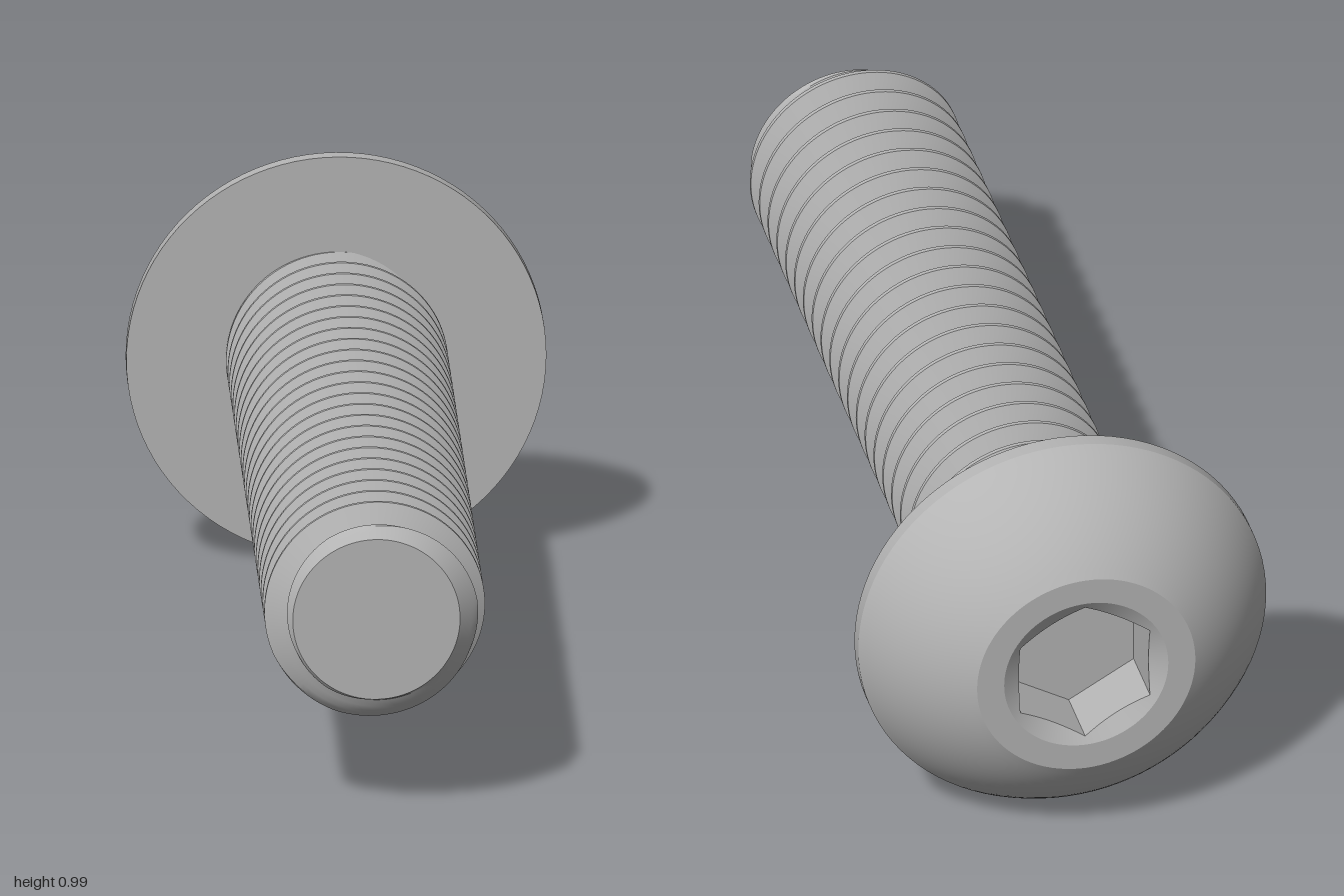
import * as THREE from 'three';
import { toCreasedNormals } from 'three/addons/utils/BufferGeometryUtils.js';

const COLS = 96;
const UNDERSIDE = -0.847, TOP = -1.118, TIP = 1.215; // stations along the bolt axis
const PITCH = 0.0856, MAJOR = 0.262, MINOR = 0.206, TIP_RADIUS = 0.198;

// Skin rows of points around the local y axis; at(row, angle) gives [radius, station]
function skin(rows, at) {
  const position = [], index = [];
  for (let i = 0; i < rows; i++) {
    for (let j = 0; j <= COLS; j++) {
      const a = (j / COLS) * Math.PI * 2;
      const [r, s] = at(i, a);
      position.push(r * Math.cos(a), s, -r * Math.sin(a));
    }
  }
  for (let i = 0; i < rows - 1; i++) {
    for (let j = 0; j < COLS; j++) {
      const a = i * (COLS + 1) + j, c = a + COLS + 1;
      index.push(a, a + 1, c, a + 1, c + 1, c);
    }
  }
  const g = new THREE.BufferGeometry();
  g.setAttribute('position', new THREE.Float32BufferAttribute(position, 3));
  g.setIndex(index);
  return toCreasedNormals(g, 0.45);
}

// Button head with a chamfered hexagonal socket
function headGeometry() {
  const sector = Math.PI / 3, mouth = 0.2;
  const hex = (a) => 0.158 / Math.cos(((a + sector / 2) % sector) - sector / 2);
  const floor = TOP + 0.17;
  const rows = [
    () => [0, floor],
    (a) => [hex(a), floor],
    (a) => [hex(a), TOP + (mouth - hex(a)) * 0.58],
    () => [mouth, TOP],
  ];
  // Shallow dome from the flat top to the rim
  const STEPS = 14;
  for (let k = 0; k <= STEPS; k++) {
    const t = k / STEPS, bulge = 0.022 * 4 * t * (1 - t) * Math.SQRT1_2;
    const r = THREE.MathUtils.lerp(0.266, 0.497, t) + bulge;
    const s = THREE.MathUtils.lerp(TOP, -0.885, t) - bulge;
    rows.push(() => [r, s]);
  }
  rows.push(() => [0.497, UNDERSIDE], () => [0, UNDERSIDE]);
  return skin(rows.length, (i, a) => rows[i](a));
}

// Helical thread, cut by the cone at the tip and closed with a flat end
function shaftGeometry() {
  const knots = [-1 / 16, 1 / 16, 0.17, 0.27, 3 / 8, 5 / 8, 0.73, 0.83];
  const crestStart = -0.786 - 2 * PITCH; // a crest on the local +x side
  const turns = Math.ceil((TIP - crestStart) / PITCH) + 1;
  const rows = turns * knots.length;
  return skin(rows + 1, (i, a) => {
    if (i === rows) return [0, TIP];
    const along = Math.floor(i / knots.length) + knots[i % knots.length] + a / (Math.PI * 2);
    const s = THREE.MathUtils.clamp(crestStart + along * PITCH, UNDERSIDE - 0.005, TIP);
    // Distance from the nearest crest, in pitches
    const f = (s - crestStart) / PITCH - a / (Math.PI * 2);
    const d = Math.abs(f - Math.round(f));
    const depth = THREE.MathUtils.clamp((d - 1 / 16) / (3 / 8 - 1 / 16), 0, 1);
    const thread = THREE.MathUtils.lerp(MAJOR, MINOR, depth);
    return [Math.min(thread, TIP_RADIUS + TIP - s), s];
  });
}

export function createModel() {
  const steel = new THREE.MeshStandardMaterial({ color: 0xb4b4b4 });
  steel.name = 'steel grey';

  const bolt = new THREE.Group();
  bolt.name = 'bolt';
  for (const [name, geometry] of [['head', headGeometry()], ['threadedShaft', shaftGeometry()]]) {
    const mesh = new THREE.Mesh(geometry, steel);
    mesh.name = name;
    bolt.add(mesh);
  }

  // Lay the bolt diagonally, tip towards +x +z
  const h = Math.SQRT1_2;
  const basis = new THREE.Matrix4().makeBasis(
    new THREE.Vector3(h, 0, -h), new THREE.Vector3(h, 0, h), new THREE.Vector3(0, -1, 0));
  bolt.quaternion.setFromRotationMatrix(basis);
  bolt.position.y = 0.497;

  const model = new THREE.Group();
  model.name = 'buttonHeadBolt';
  model.add(bolt);
  return model;
}
